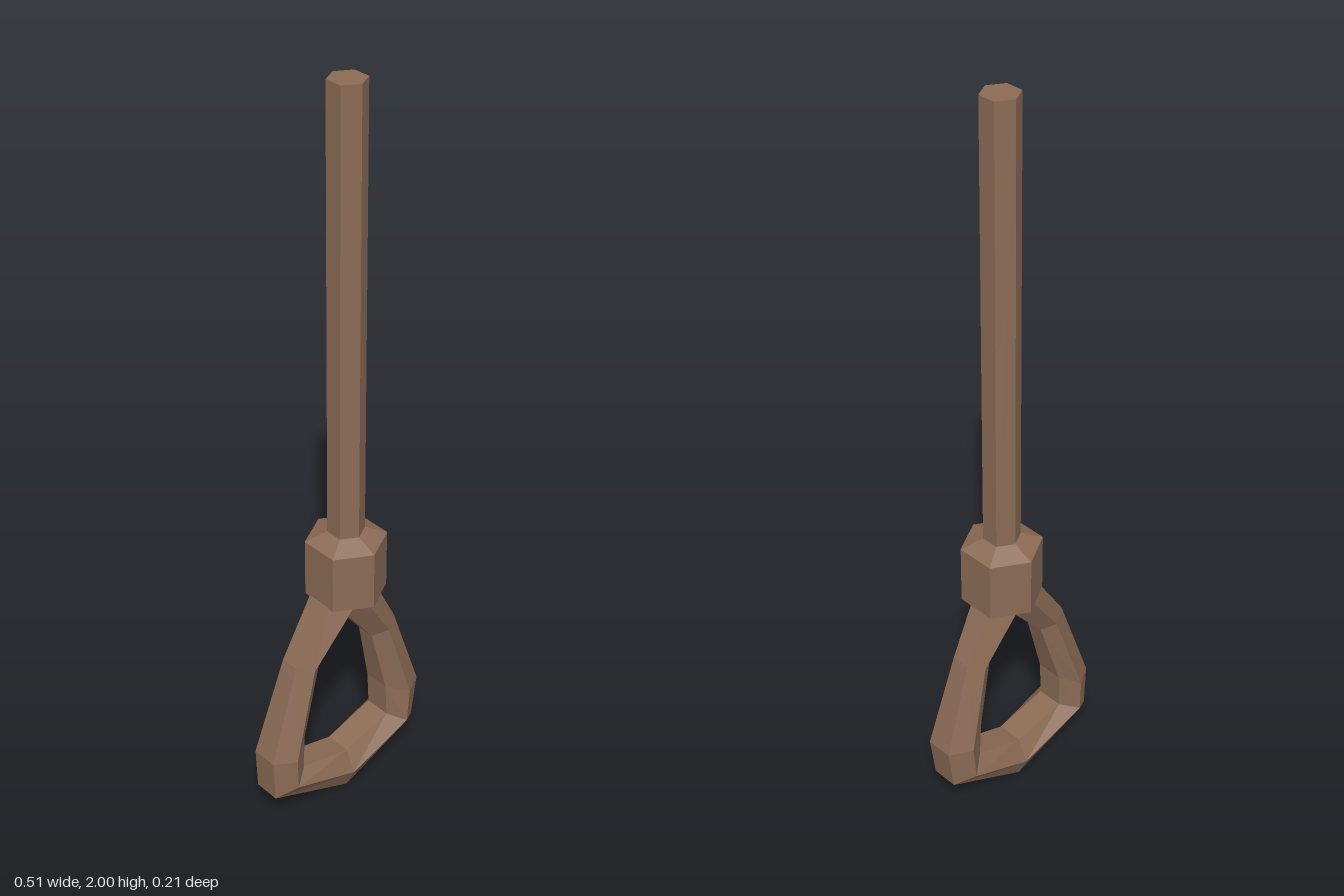
import * as THREE from 'three';

const material = new THREE.MeshStandardMaterial({ color: 0x8b6b55, flatShading: true, roughness: 0.9 });
const CENTRE_X = 0.027;

// Six-sided sweep through stations: outer, middle and inner edge points plus half depths
function strandGeometry(stations) {
  const positions = [];
  const index = [];
  for (const { outer, mid, inner, midZ, edgeZ } of stations) {
    positions.push(
      ...outer, edgeZ, ...mid, midZ, ...inner, edgeZ,
      ...inner, -edgeZ, ...mid, -midZ, ...outer, -edgeZ
    );
  }
  for (let i = 0; i < stations.length - 1; i++) {
    for (let j = 0; j < 6; j++) {
      const k = (j + 1) % 6;
      const a = i * 6 + j, b = a + 6, c = (i + 1) * 6 + k, d = i * 6 + k;
      index.push(a, b, c, a, c, d);
    }
  }
  const geometry = new THREE.BufferGeometry();
  geometry.setAttribute('position', new THREE.Float32BufferAttribute(positions, 3));
  geometry.setIndex(index);
  const flat = geometry.toNonIndexed();
  flat.computeVertexNormals();
  return flat;
}

const station = (outer, mid, inner, midZ = 0.07, edgeZ = 0.035) => ({ outer, mid, inner, midZ, edgeZ });

export function createModel() {
  const group = new THREE.Group();
  group.name = 'ropeLoop';
  const add = (name, geometry, x = 0, y = 0) => {
    const mesh = new THREE.Mesh(geometry, material);
    mesh.name = name;
    mesh.position.set(x, y, 0);
    group.add(mesh);
  };

  // Long straight rope
  add('rope', new THREE.CylinderGeometry(0.048, 0.048, 1.25, 6), CENTRE_X, 1.375);

  // Knot with a short bevel up to the rope
  const knotProfile = [[0, 0.63], [0.105, 0.63], [0.105, 0.79], [0.046, 0.815]]
    .map(([r, y]) => new THREE.Vector2(r, y));
  add('knot', new THREE.LatheGeometry(knotProfile, 6), CENTRE_X);

  // Loop, from the knot down the right side, across the bottom and back up
  add('loop', strandGeometry([
    station([-0.06, 0.64], [0.0, 0.635], [0.07, 0.635]),
    station([-0.164, 0.485], [-0.122, 0.468], [-0.088, 0.453], 0.05, 0.025),
    station([-0.254, 0.222], [-0.2, 0.222], [-0.148, 0.254], 0.07, 0.036),
    station([-0.249, 0.102], [-0.198, 0.133], [-0.151, 0.155], 0.07, 0.036),
    station([0, 0], [0, 0.063], [0, 0.122], 0.066, 0.035),
    station([0.236, 0.117], [0.187, 0.14], [0.143, 0.168], 0.07, 0.036),
    station([0.253, 0.235], [0.196, 0.238], [0.138, 0.265], 0.07, 0.036),
    station([0.173, 0.485], [0.133, 0.468], [0.096, 0.453], 0.05, 0.025),
    station([0.09, 0.64], [0.025, 0.635], [-0.045, 0.635]),
  ]));

  return group;
}
